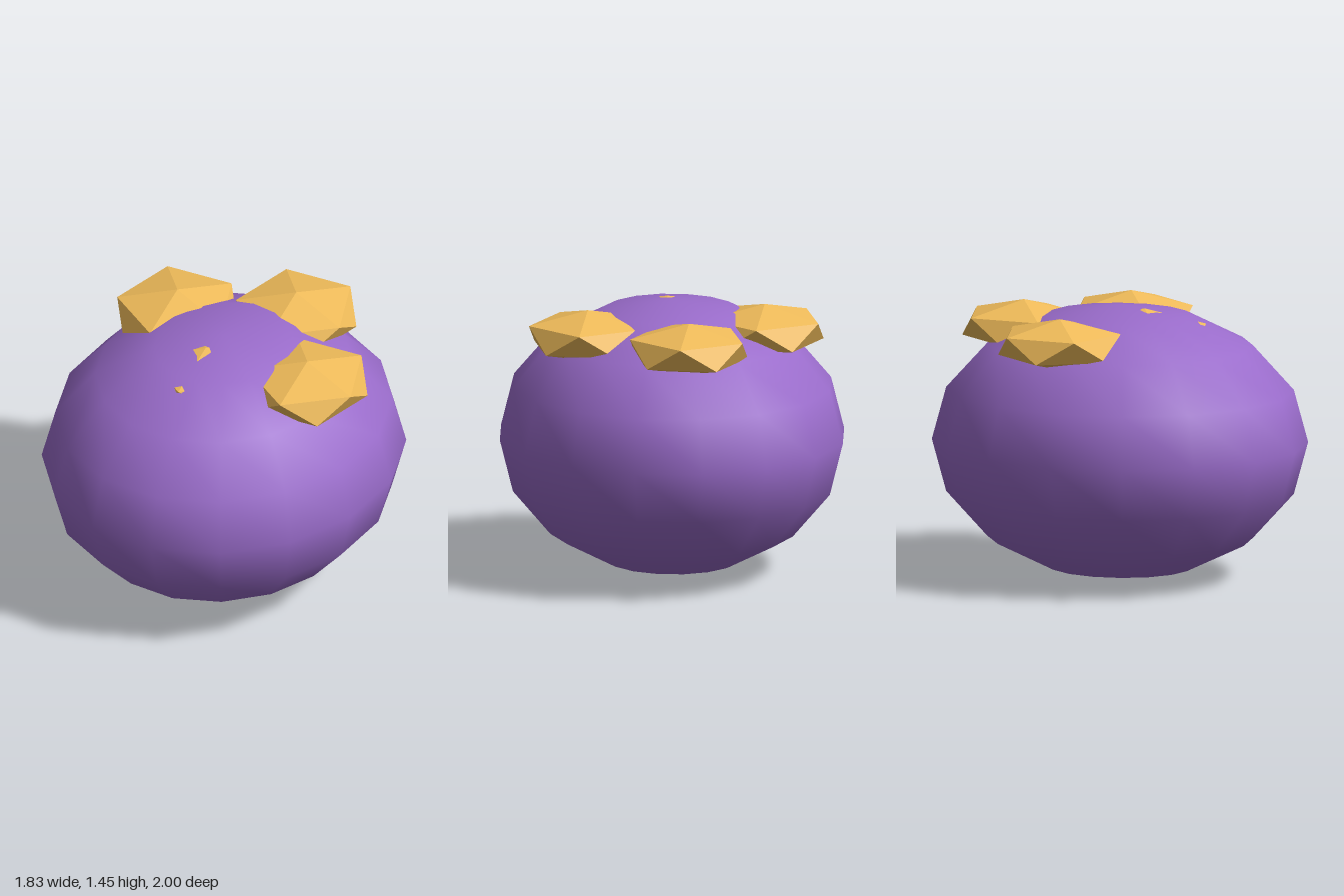
import * as THREE from 'three';

export function createModel() {
  const model = new THREE.Group();
  const purple = new THREE.MeshStandardMaterial({ color: 0x9a6ccb });
  const gold = new THREE.MeshStandardMaterial({ color: 0xf0bc5a, flatShading: true });

  // Smooth, faceted-outline ellipsoid body
  const bodyGeometry = new THREE.SphereGeometry(1, 16, 8);
  bodyGeometry.scale(0.915, 0.725, 1);
  const body = new THREE.Mesh(bodyGeometry, purple);
  body.name = 'body';
  body.position.y = 0.727;
  model.add(body);

  // Squashed icosahedron standing on a corner, one upper corner towards +x
  const spotGeometry = new THREE.IcosahedronGeometry(1, 0);
  spotGeometry.rotateZ(-Math.atan2(1, (1 + Math.sqrt(5)) / 2));
  spotGeometry.scale(0.35, 0.135, 0.365);

  // Three spots stand out; the front one only just breaks the surface
  const spots = {
    leftSpot: [0.47, -0.14],
    rightSpot: [-0.47, -0.14],
    backSpot: [0, -0.55],
    frontSpot: [0, 0.14],
  };
  for (const [name, [x, z]] of Object.entries(spots)) {
    const spot = new THREE.Mesh(spotGeometry, gold);
    spot.name = name;
    spot.position.set(x, 1.305, z);
    model.add(spot);
  }

  return model;
}
